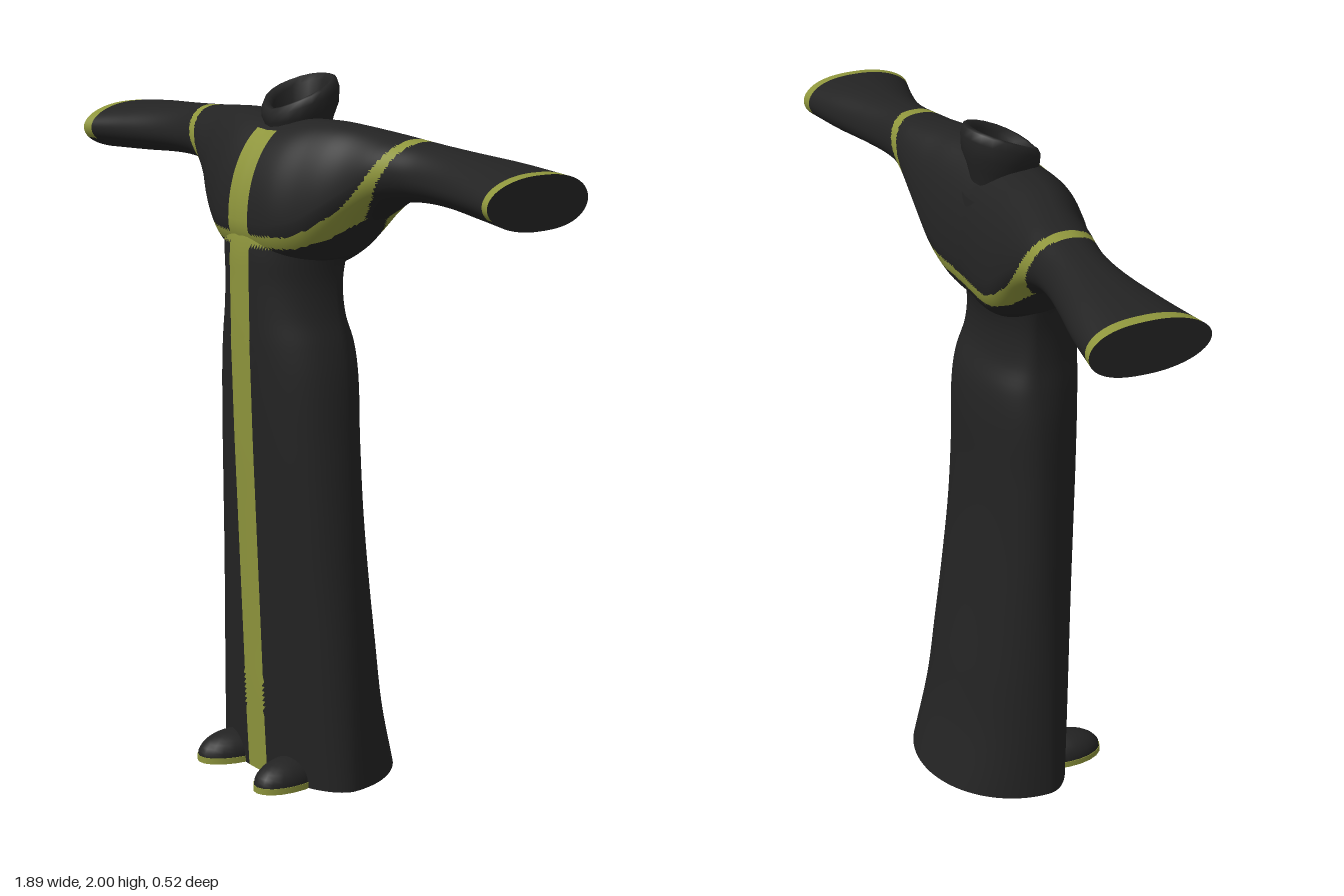
import * as THREE from 'three';

const black = new THREE.MeshStandardMaterial({ color: 0x232323 });
black.name = 'black cloth';
const gold = new THREE.MeshStandardMaterial({ color: 0x8e953c });
gold.name = 'gold trim';

// Smooth lookup in a table whose first column is the position
function table(rows) {
  const curve = new THREE.CubicInterpolant(
    rows.map(r => r[0]), rows.flatMap(r => r.slice(1)), rows[0].length - 1);
  return t => Array.from(curve.evaluate(t));
}

// Skin of closed rings; isGold chooses the trim faces by their centre
function loft(name, nu, nv, point, isGold = () => false) {
  const pos = [], plain = [], trim = [];
  for (let j = 0; j <= nv; j++)
    for (let i = 0; i < nu; i++) pos.push(...point(i / nu * Math.PI * 2, j / nv));
  const at = k => new THREE.Vector3().fromArray(pos, k * 3);
  const face = (a, b, c) => {
    const m = at(a).add(at(b)).add(at(c)).divideScalar(3);
    (isGold(m) ? trim : plain).push(a, b, c);
  };
  for (let j = 0; j < nv; j++)
    for (let i = 0; i < nu; i++) {
      const k = (i + 1) % nu;
      const a = j * nu + i, b = j * nu + k, c = b + nu, d = a + nu;
      face(a, b, c);
      face(a, c, d);
    }
  // Flat end caps with their own corners
  for (const j of [0, nv]) {
    const base = pos.length / 3, mid = new THREE.Vector3();
    for (let i = 0; i < nu; i++) {
      const p = at(j * nu + i);
      mid.addScaledVector(p, 1 / nu);
      pos.push(p.x, p.y, p.z);
    }
    pos.push(mid.x, mid.y, mid.z);
    for (let i = 0; i < nu; i++) {
      const a = base + i, b = base + (i + 1) % nu;
      if (j) plain.push(a, b, base + nu);
      else plain.push(b, a, base + nu);
    }
  }
  const geo = new THREE.BufferGeometry();
  geo.setAttribute('position', new THREE.Float32BufferAttribute(pos, 3));
  geo.setIndex([...plain, ...trim]);
  geo.addGroup(0, plain.length, 0);
  if (trim.length) geo.addGroup(plain.length, trim.length, 1);
  geo.computeVertexNormals();
  const mesh = new THREE.Mesh(geo, [black, gold]);
  mesh.name = name;
  return mesh;
}

// Trim layout: centre stripe, curved cape border, cuff edges
const STRIPE = 0.045;
const border = [[0, 1.566], [0.17, 1.572], [0.24, 1.6], [0.32, 1.66],
  [0.39, 1.73], [0.44, 1.8], [0.485, 1.88]].map(p => new THREE.Vector3(...p, 0));
const segments = border.slice(1).map((p, i) => new THREE.Line3(border[i], p));
const near = new THREE.Vector3();

function isTrim(m) {
  const x = Math.abs(m.x);
  if (m.z > 0.03 && x < STRIPE && m.y < 1.86) return true;
  if (x > 0.917) return m.y > 1.733;
  if (x > 0.55 || m.y < 1.5) return false;
  const flat = new THREE.Vector3(x, m.y, 0);
  return segments.some(s => s.closestPointToPoint(flat, true, near).distanceTo(flat) < 0.017);
}

// Pull vertices near the stripe edge onto it
const snap = x => Math.abs(Math.abs(x) - STRIPE) < 0.006 ? Math.sign(x) * STRIPE : x;

// Robe: height, half width, front z, back z
const robe = table([
  [0, 0.3, 0.152, -0.26], [0.2, 0.29, 0.163, -0.208], [0.4, 0.28, 0.172, -0.178],
  [0.6, 0.269, 0.181, -0.15], [0.8, 0.26, 0.19, -0.126], [1, 0.25, 0.199, -0.115],
  [1.2, 0.236, 0.206, -0.114], [1.28, 0.222, 0.209, -0.103], [1.36, 0.203, 0.211, -0.072],
  [1.45, 0.194, 0.212, -0.066], [1.53, 0.2, 0.212, -0.085], [1.6, 0.212, 0.203, -0.105],
  [1.7, 0.2, 0.17, -0.11], [1.8, 0.15, 0.1, -0.1]]);

function robePoint(a, v) {
  const y = v * 1.8, [w, front, back] = robe(y), zc = 0.02, c = Math.cos(a);
  const x = w * Math.sin(a);
  return [c > 0 ? snap(x) : x, y, zc + c * (c > 0 ? front - zc : zc - back)];
}

// Cape and sleeves: distance from centre, top, widest and bottom y, front z, back z
const sleeve = table([
  [0, 1.885, 1.62, 1.47, 0.216, -0.125], [0.12, 1.893, 1.62, 1.48, 0.201, -0.132],
  [0.2, 1.895, 1.64, 1.52, 0.17, -0.135], [0.25, 1.892, 1.67, 1.565, 0.148, -0.135],
  [0.32, 1.885, 1.72, 1.635, 0.112, -0.135], [0.4, 1.876, 1.77, 1.688, 0.083, -0.132],
  [0.47, 1.87, 1.785, 1.706, 0.062, -0.128], [0.55, 1.864, 1.78, 1.712, 0.05, -0.132],
  [0.65, 1.857, 1.775, 1.71, 0.055, -0.15], [0.8, 1.848, 1.77, 1.7, 0.085, -0.183],
  [0.945, 1.835, 1.765, 1.694, 0.125, -0.207]]);

function sleevePoint(a, v) {
  const x = snap((v * 2 - 1) * 0.945);
  const [top, mid, bottom, front, back] = sleeve(Math.abs(x));
  const zc = THREE.MathUtils.lerp(0.03, (front + back) / 2, Math.min(1, Math.abs(x) / 0.4));
  const c = Math.cos(a), s = -Math.sin(a);
  const y = mid + s * (s > 0 ? top - mid : mid - bottom);
  return [x, y, zc + (c > 0 ? c * (front - zc) : -Math.pow(-c, 0.75) * (zc - back))];
}

// Collar rings from outside base over the lip to the inside: radius, front y, back y
const collarRings = [[0.08, 1.82, 1.84], [0.092, 1.845, 1.89], [0.106, 1.875, 1.93],
  [0.108, 1.895, 1.975], [0.1, 1.912, 1.998], [0.088, 1.915, 2], [0.076, 1.9, 1.98],
  [0.066, 1.86, 1.9]];

function collarPoint(a, v) {
  const [r, front, back] = collarRings[Math.round(v * (collarRings.length - 1))];
  const rise = Math.pow((1 - Math.cos(a)) / 2, 0.7);
  return [r * Math.sin(a), front + (back - front) * rise, r * Math.cos(a)];
}

// Rounded shoe toe on a gold sole
function shoe(side) {
  const group = new THREE.Group();
  group.name = side > 0 ? 'leftShoe' : 'rightShoe';
  const upper = new THREE.Mesh(
    new THREE.SphereGeometry(1, 20, 8, 0, Math.PI * 2, 0, Math.PI / 2), black);
  upper.name = 'shoeUpper';
  upper.scale.set(0.068, 0.062, 0.12);
  upper.position.y = 0.018;
  const sole = new THREE.Mesh(new THREE.CylinderGeometry(1, 1, 1, 20), gold);
  sole.name = 'shoeSole';
  sole.scale.set(0.07, 0.018, 0.122);
  sole.position.y = 0.009;
  group.add(upper, sole);
  group.position.set(side * 0.135, 0, 0.138);
  group.rotation.y = side * 0.1;
  return group;
}

export function createModel() {
  const model = new THREE.Group();
  model.name = 'robe';
  model.add(
    loft('robeBody', 140, 120, robePoint, isTrim),
    loft('capeAndSleeves', 96, 190, sleevePoint, isTrim),
    loft('collar', 20, collarRings.length - 1, collarPoint),
    shoe(1), shoe(-1));
  return model;
}
